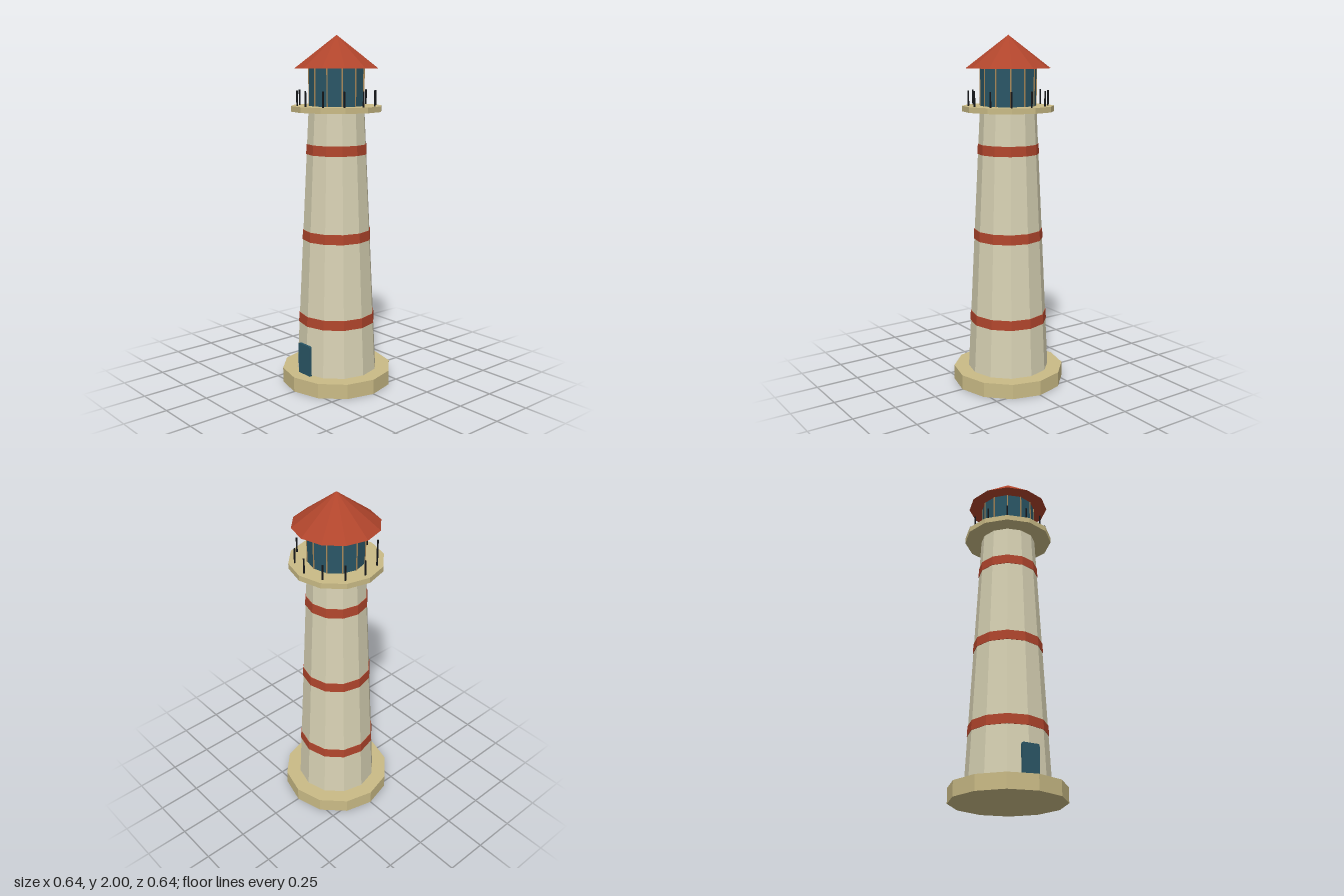
import * as THREE from 'three';

const SIDES = 12;

function paint(color) {
  return new THREE.MeshStandardMaterial({ color, flatShading: true });
}

export function createModel() {
  const group = new THREE.Group();
  const stone = paint(0xcabb86);
  const wall = paint(0xd8d2b4);
  const red = paint(0xb0452c);
  const teal = paint(0x2a5666);
  const brass = paint(0xa8895a);
  const iron = paint(0x15171a);

  const add = (name, geometry, material, x = 0, y = 0, z = 0) => {
    const mesh = new THREE.Mesh(geometry, material);
    mesh.name = name;
    mesh.position.set(x, y, z);
    group.add(mesh);
    return mesh;
  };

  // Twelve-sided drum between two heights
  const drum = (name, y0, y1, r0, r1, material) =>
    add(name, new THREE.CylinderGeometry(r1, r0, y1 - y0, SIDES), material, 0, (y0 + y1) / 2, 0);

  // Ring of upright parts standing on the corners of the drums
  const ring = (name, radius, y0, y1, makeGeometry, material) => {
    const geometry = makeGeometry(y1 - y0);
    for (let i = 0; i < SIDES; i++) {
      const a = (i / SIDES) * Math.PI * 2;
      const post = add(name, geometry, material, Math.sin(a) * radius, (y0 + y1) / 2, Math.cos(a) * radius);
      post.rotation.y = a;
    }
  };

  const baseTop = 0.085, towerTop = 1.582, deck = 1.613, eaves = 1.819;
  const towerRadius = (y) => THREE.MathUtils.mapLinear(y, baseTop, towerTop, 0.234, 0.16);

  // Base and tapering tower
  drum('base', 0, baseTop, 0.32, 0.32, stone);
  drum('tower', baseTop, towerTop, towerRadius(baseTop), towerRadius(towerTop), wall);

  // Painted bands, slightly proud of the wall
  for (const y of [0.394, 0.883, 1.372]) {
    const y0 = y - 0.028, y1 = y + 0.028;
    drum('band', y0, y1, towerRadius(y0) + 0.003, towerRadius(y1) + 0.003, red);
  }

  // Gallery with railing posts
  drum('gallery', towerTop, deck, 0.258, 0.258, stone);
  ring('railingPost', 0.223, deck, 1.698, (h) => new THREE.CylinderGeometry(0.005, 0.005, h, 6), iron);

  // Lantern room with glazing bars
  drum('lanternRoom', deck, eaves, 0.157, 0.157, teal);
  ring('glazingBar', 0.156, deck, eaves, (h) => new THREE.BoxGeometry(0.007, h, 0.007), brass);

  // Roof
  add('roof', new THREE.ConeGeometry(0.237, 2 - eaves, SIDES), red, 0, (2 + eaves) / 2, 0);

  // Door with softened top corners
  const w = 0.051, h = 0.178, r = 0.01;
  const outline = new THREE.Shape();
  outline.moveTo(-w, 0);
  outline.lineTo(w, 0);
  outline.lineTo(w, h - r);
  outline.quadraticCurveTo(w, h, w - r, h);
  outline.lineTo(-w + r, h);
  outline.quadraticCurveTo(-w, h, -w, h - r);
  outline.closePath();
  const doorGeometry = new THREE.ExtrudeGeometry(outline, { depth: 0.014, bevelEnabled: false, curveSegments: 3 });
  add('door', doorGeometry, teal, 0, baseTop, 0.232);

  return group;
}
